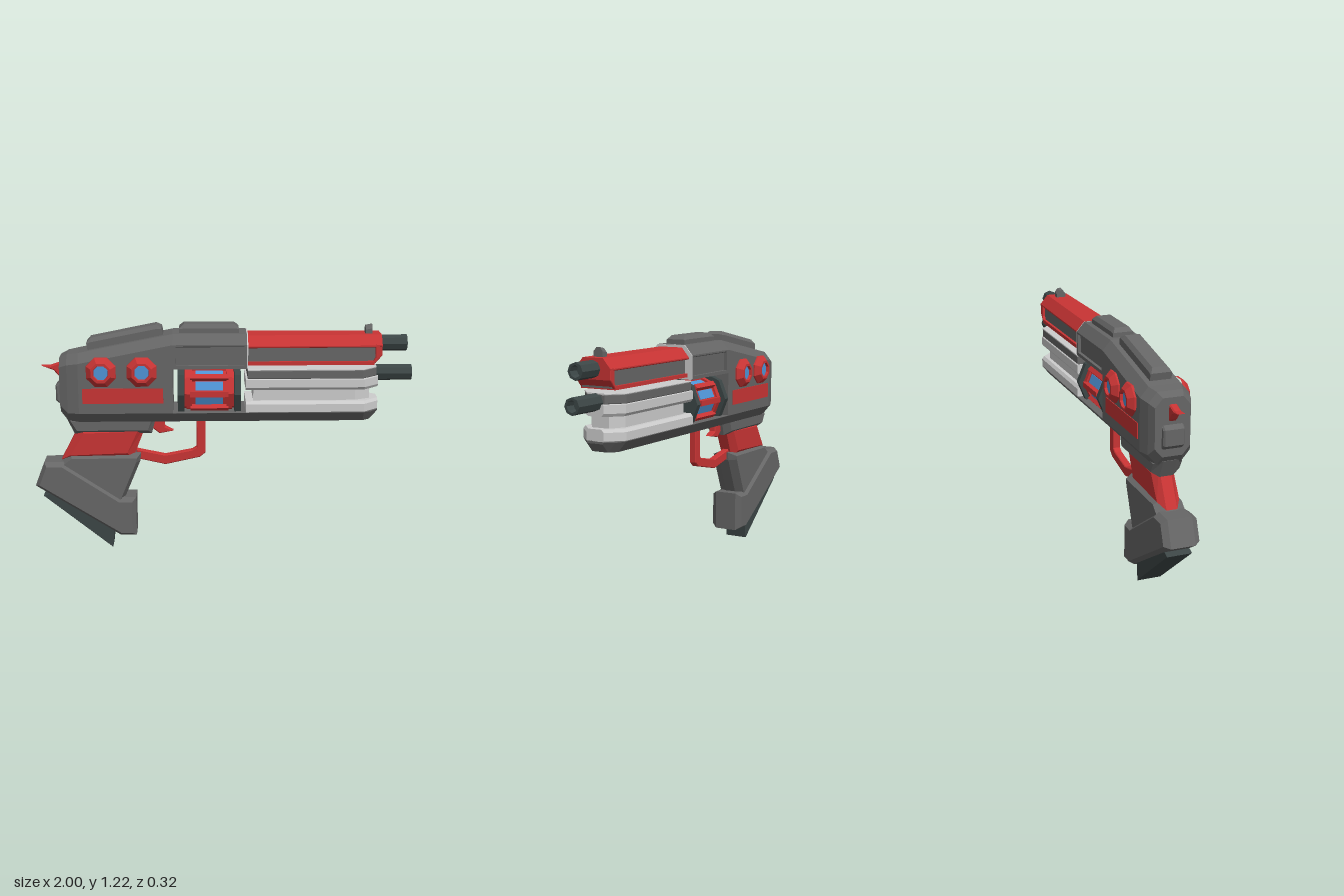
import * as THREE from 'three';

const mat = (name, color) => Object.assign(new THREE.MeshStandardMaterial({ color }), { name, flatShading: true });

// Loft along x through chamfered sections [x, halfWidth, yBottom, yTop, bottomChamfer, topChamfer]
function loft(stations) {
  const pos = [], idx = [], n = 8;
  for (const [x, w, b, t, cb = 0.004, ct = 0.004] of stations) {
    const lo = w - cb * 0.85, hi = w - ct * 0.85;
    for (const [y, z] of [[b, lo], [b, -lo], [b + cb, -w], [t - ct, -w], [t, -hi], [t, hi], [t - ct, w], [b + cb, w]]) pos.push(x, y, z);
  }
  const last = (stations.length - 1) * n;
  for (let i = 0; i < last; i += n) {
    for (let j = 0; j < n; j++) {
      const k = (j + 1) % n;
      idx.push(i + j, i + k, i + n + k, i + j, i + n + k, i + n + j);
    }
  }
  for (let j = 1; j < n - 1; j++) idx.push(0, j + 1, j, last, last + j, last + j + 1);
  return flat(new THREE.BufferGeometry().setAttribute('position', new THREE.Float32BufferAttribute(pos, 3)).setIndex(idx));
}

function flat(g) {
  const f = g.index ? g.toNonIndexed() : g;
  f.computeVertexNormals();
  return f;
}

// Side outline extruded across z, with chamfered edges
function slab(points, hw, size = 0.01, thick = size) {
  const shape = new THREE.Shape(points.map(p => new THREE.Vector2(...p)));
  return new THREE.ExtrudeGeometry(shape, {
    depth: 2 * (hw - thick), bevelEnabled: true, bevelSegments: 1,
    bevelSize: size, bevelOffset: -size, bevelThickness: thick,
  }).translate(0, 0, -(hw - thick));
}

const box = (x0, x1, y0, y1, z0, z1) =>
  new THREE.BoxGeometry(x1 - x0, y1 - y0, z1 - z0).translate((x0 + x1) / 2, (y0 + y1) / 2, (z0 + z1) / 2);

// Eight-sided lathe profile [radius, height]
const lathe = (pts) => flat(new THREE.LatheGeometry(pts.map(p => new THREE.Vector2(...p)), 8));

export function createModel() {
  const model = new THREE.Group();
  const gray = mat('body gray', 0x666666), red = mat('red', 0xc83434), light = mat('light gray', 0xcccccc);
  const blue = mat('glass blue', 0x4f94d6), dark = mat('dark metal', 0x3c4646);
  const add = (name, geo, m, parent = model) => {
    const mesh = new THREE.Mesh(geo, m);
    mesh.name = name;
    parent.add(mesh);
    return mesh;
  };

  // Receiver
  add('rearBody', loft([
    [-0.85, 0.09, 0.76, 1.05, 0.045, 0.045], [-0.81, 0.108, 0.71, 1.07, 0.055, 0.05],
    [-0.75, 0.125, 0.71, 1.08, 0.055, 0.05], [-0.26, 0.125, 0.71, 1.177, 0.055, 0.05]]), gray);
  add('upperCore', loft([[-0.26, 0.108, 1.0, 1.15], [0.125, 0.108, 1.0, 1.15]]), gray);
  add('upperRoof', loft([[-0.26, 0.125, 1.115, 1.177, 0.004, 0.05], [0.125, 0.125, 1.115, 1.177, 0.004, 0.05]]), gray);
  add('upperSill', box(-0.26, 0.125, 1.0, 1.018, -0.125, 0.125), gray);
  add('upperRearPost', box(-0.26, -0.243, 1.0, 1.12, -0.125, 0.125), gray);
  add('upperFrontPost', box(0.112, 0.125, 1.0, 1.12, -0.125, 0.125), gray);
  add('upperFrontPlate', loft([[0.125, 0.125, 1.0, 1.177, 0.004, 0.05], [0.131, 0.125, 1.0, 1.177, 0.004, 0.05]]), light);
  add('lowerRail', loft([
    [-0.26, 0.125, 0.71, 0.768, 0.055, 0.002], [0.74, 0.125, 0.71, 0.768, 0.055, 0.002],
    [0.78, 0.088, 0.71, 0.768, 0.05, 0.002], [0.82, 0.05, 0.755, 0.768, 0.008, 0.002]]), gray);
  add('rearPlate', slab([[-0.875, 0.82], [-0.84, 0.79], [-0.84, 0.925], [-0.875, 0.9]], 0.055, 0.008), gray);
  add('rearHammer', slab([[-0.95, 1.0], [-0.9, 1.0], [-0.84, 1.02], [-0.84, 0.925], [-0.865, 0.95], [-0.885, 0.975]], 0.02, 0.006), red);

  // Raised pads on top
  const pad = (len, h) => loft([
    [-len / 2, 0.055, -0.02, h - 0.02], [-len / 2 + 0.025, 0.055, -0.02, h, 0.004, 0.02],
    [len / 2 - 0.025, 0.055, -0.02, h, 0.004, 0.02], [len / 2, 0.055, -0.02, h - 0.02]]);
  const slopedPad = add('slopedPad', pad(0.4, 0.058), gray);
  slopedPad.position.set(-0.505, 1.128, 0);
  slopedPad.rotation.z = 0.196;
  add('flatPad', pad(0.31, 0.044), gray).position.set(-0.07, 1.177, 0);

  // Side stripes and round lamps
  for (const s of [1, -1]) {
    add('sideStripe', box(-0.73, -0.31, 0.82, 0.9, s * 0.126 - 0.003, s * 0.126 + 0.003), red);
    for (const x of [-0.63, -0.42]) {
      const lamp = new THREE.Group();
      lamp.name = 'sideLamp';
      lamp.position.set(x, 0.988, s * 0.122);
      lamp.rotation.set(s * Math.PI / 2, Math.PI / 8, 0, 'XYZ');
      add('lampRing', lathe([[0.083, 0], [0.083, 0.012], [0.055, 0.04], [0.042, 0.04], [0.038, 0.02]]), red, lamp);
      add('lampGlass', lathe([[0.041, 0.026], [0, 0.026]]), blue, lamp);
      model.add(lamp);
    }
  }

  // Rotating drum
  const drum = new THREE.Group();
  drum.name = 'drum';
  drum.position.set(-0.07, 0.865, 0);
  model.add(drum);
  const along = (r, len) => flat(new THREE.CylinderGeometry(r, r, len, 8).rotateZ(-Math.PI / 2));
  add('drumCore', along(0.107, 0.26), red, drum);
  for (const s of [-1, 1]) {
    add('drumEnd', along(0.139, 0.034), dark, drum).position.x = s * 0.148;
    add('drumCollar', along(0.118, 0.03), red, drum).position.x = s * 0.105;
  }
  for (let i = 0; i < 8; i++) {
    const bar = add('drumBar', box(-0.1, 0.1, -0.014, 0.014, 0.09, 0.127), red, drum);
    bar.rotation.x = i * Math.PI / 4;
    const glass = add('drumWindow', box(-0.072, 0.072, -0.024, 0.024, 0.097, 0.103), blue, drum);
    glass.rotation.x = (i + 0.5) * Math.PI / 4;
  }

  // Fore-end, stacked in layers with a tapered nose
  const layer = (hw, x0, x1, y0, y1, cb, ct) => loft([
    [x0, hw, y0, y1, cb, ct], [x1 - 0.08, hw, y0, y1, cb, ct], [x1, 0.05, y0, y1, cb, ct]]);
  add('foreBottom', layer(0.125, 0.12, 0.82, 0.766, 0.825, 0.003, 0.015), light);
  add('foreGroove', layer(0.092, 0.16, 0.775, 0.81, 0.9), light);
  add('foreMiddle', layer(0.125, 0.12, 0.82, 0.885, 0.945, 0.015, 0.003), light);
  add('foreBand', layer(0.12, 0.13, 0.81, 0.944, 0.99), gray);
  add('foreTop', layer(0.122, 0.13, 0.81, 0.988, 0.996, 0.002, 0.002), light);

  // Upper barrel shroud with inset sides
  add('shroudCore', box(0.13, 0.8, 1.02, 1.12, -0.085, 0.085), gray);
  add('shroudTop', loft([[0.13, 0.108, 1.105, 1.165, 0.004, 0.05], [0.83, 0.1, 1.105, 1.165, 0.004, 0.05]]), red);
  add('shroudBottom', box(0.13, 0.79, 1.013, 1.032, -0.1, 0.1), red);
  add('shroudNose', slab([[0.775, 1.013], [0.785, 1.013], [0.83, 1.062], [0.83, 1.12], [0.795, 1.12], [0.795, 1.05]], 0.1, 0.003), red);

  // Barrels with open muzzles
  const barrel = (x0, x1, y) => {
    const len = x1 - x0;
    const g = lathe([[0.043, 0], [0.043, len], [0.03, len], [0.026, len - 0.05], [0, len - 0.05]]);
    add('barrel', g.rotateZ(-Math.PI / 2).translate(x0, y, 0), dark);
  };
  barrel(0.78, 0.97, 1.112);
  barrel(0.78, 1.0, 0.953);
  add('frontSight', loft([[0.75, 0.026, 1.15, 1.205, 0.004, 0.02], [0.785, 0.026, 1.15, 1.212, 0.004, 0.02]]), gray);

  // Trigger and guard
  add('trigger', slab([[-0.37, 0.72], [-0.31, 0.72], [-0.305, 0.665], [-0.26, 0.642], [-0.335, 0.628], [-0.375, 0.66]], 0.02, 0.005), red);
  add('triggerGuard', slab([[-0.09, 0.72], [-0.09, 0.52], [-0.12, 0.495], [-0.305, 0.455], [-0.46, 0.49],
    [-0.46, 0.54], [-0.305, 0.507], [-0.16, 0.535], [-0.138, 0.55], [-0.138, 0.72]], 0.02, 0.004), red);

  // Grip
  add('gripNeck', slab([[-0.83, 0.73], [-0.785, 0.635], [-0.375, 0.635], [-0.35, 0.73]], 0.075, 0.025, 0.04), gray);
  add('gripBand', slab([[-0.76, 0.68], [-0.86, 0.49], [-0.48, 0.49], [-0.405, 0.68]], 0.058, 0.04, 0.03), red);
  add('gripUpper', slab([[-0.88, 0.47], [-0.81, 0.525], [-0.435, 0.525], [-0.44, 0.48], [-0.54, 0.24], [-0.8, 0.3]], 0.075, 0.02, 0.045), gray);
  add('gripBase', slab([[-0.95, 0.485], [-0.85, 0.485], [-0.55, 0.285], [-0.465, 0.285],
    [-0.465, 0.07], [-0.55, 0.07], [-1.0, 0.355]], 0.093, 0.02, 0.03), gray);
  add('gripMagazine', slab([[-0.96, 0.297], [-0.88, 0.33], [-0.58, 0.14], [-0.595, 0.0]], 0.065, 0.003), dark);

  return model;
}
